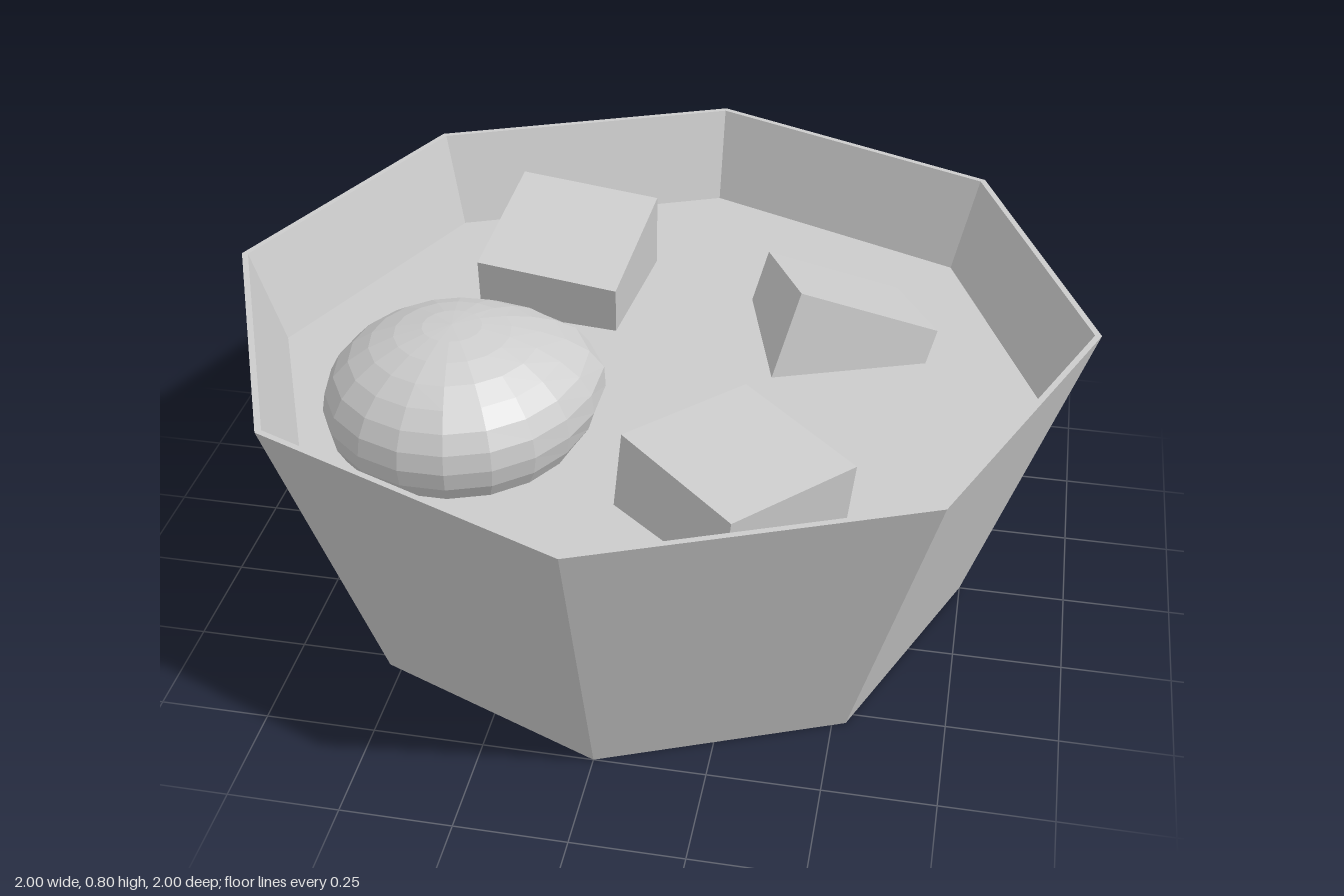
import * as THREE from 'three';

const V2 = (x, y) => new THREE.Vector2(x, y);
const V3 = (x, y, z) => new THREE.Vector3(x, y, z);
const LEVEL = 0.525; // liquid surface height

function makeMesh(name, geometry) {
  const material = new THREE.MeshStandardMaterial({ color: 0xcccccc, flatShading: true });
  const mesh = new THREE.Mesh(geometry, material);
  mesh.name = name;
  return mesh;
}

// Cube placed by the centre of its top face and two top edge directions
function makeCube(name, top, edgeA, edgeB, size = 0.35) {
  const a = edgeA.clone().normalize();
  const up = edgeB.clone().cross(a).normalize();
  const b = a.clone().cross(up);
  const cube = makeMesh(name, new THREE.BoxGeometry(size, size, size));
  cube.quaternion.setFromRotationMatrix(new THREE.Matrix4().makeBasis(a, up, b));
  cube.position.copy(top).addScaledVector(up, -size / 2);
  return cube;
}

// Squashed ball with one soft bulge on its side
function makeScoop() {
  const geometry = new THREE.SphereGeometry(1, 18, 14);
  const bulge = V3(0.84, 0.2, -0.5).normalize();
  const pos = geometry.attributes.position;
  const v = V3(0, 0, 0);
  for (let i = 0; i < pos.count; i++) {
    v.fromBufferAttribute(pos, i);
    const angle = v.angleTo(bulge);
    v.multiplyScalar(1 + 0.17 * Math.exp(-((angle / 0.55) ** 2)));
    pos.setXYZ(i, v.x * 0.297, v.y * 0.195, v.z * 0.297);
  }
  geometry.computeVertexNormals();
  const scoop = makeMesh('scoop', geometry);
  scoop.position.set(-0.4, 0.605, 0.297);
  return scoop;
}

export function createModel() {
  const model = new THREE.Group();
  model.name = 'bowl with floating pieces';

  // Eight-sided bowl: base, flared wall, thin rim, inner wall
  const profile = [V2(0, 0), V2(0.75, 0), V2(1, 0.75), V2(0.985, 0.75), V2(0.91, LEVEL)];
  model.add(makeMesh('bowl', new THREE.LatheGeometry(profile, 8)));

  // Liquid surface filling the bowl
  const liquid = makeMesh('liquid', new THREE.CircleGeometry(0.91, 8));
  liquid.rotation.x = -Math.PI / 2;
  liquid.position.y = LEVEL;
  model.add(liquid);

  // Floating pieces
  model.add(
    makeScoop(),
    makeCube('backRightCube', V3(-0.285, 0.706, -0.335), V3(0.345, -0.025, 0.032), V3(-0.035, -0.08, 0.34)),
    makeCube('backLeftCube', V3(0.418, 0.622, -0.315), V3(0.32, -0.12, -0.09), V3(0.11, 0.08, 0.32)),
    makeCube('frontCube', V3(0.267, 0.686, 0.495), V3(0.27, -0.03, 0.225), V3(-0.225, 0.02, 0.265)),
  );
  return model;
}
